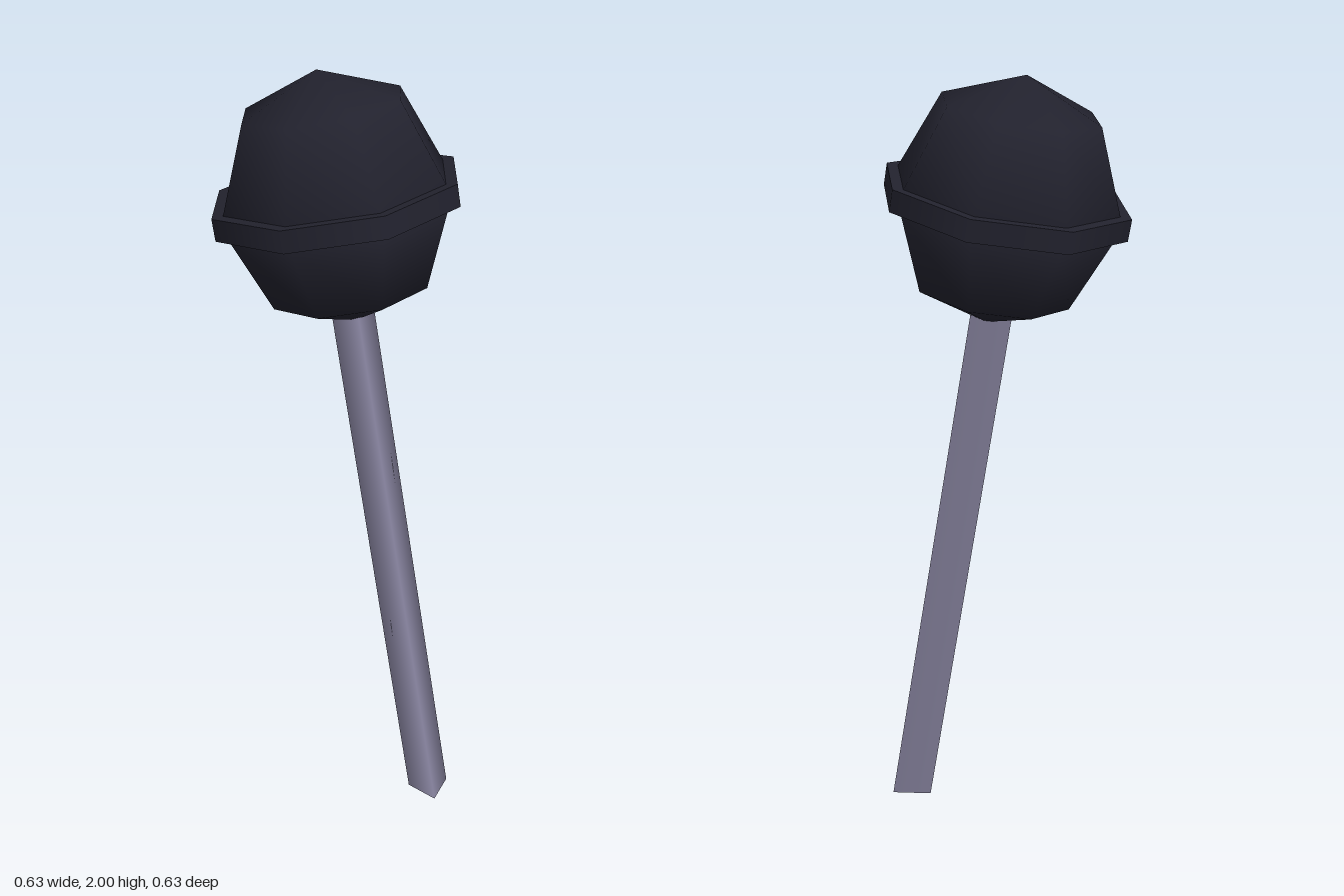
import * as THREE from 'three';

export function createModel() {
  const candy = new THREE.MeshStandardMaterial({ color: 0x22222e });
  candy.name = 'dark candy';
  const paper = new THREE.MeshStandardMaterial({ color: 0x8f8ba8 });
  paper.name = 'grey lilac stick';

  const R = 0.284;    // candy radius
  const BAND = 0.055; // band thickness
  const model = new THREE.Group();
  model.name = 'lollipop';

  const add = (name, geometry, material, y) => {
    const mesh = new THREE.Mesh(geometry, material);
    mesh.name = name;
    mesh.position.y = y;
    model.add(mesh);
    return mesh;
  };

  // Two faceted domes, parted by the thickness of the band
  const dome = () => new THREE.SphereGeometry(R, 8, 2, 0, Math.PI * 2, 0, Math.PI / 2);
  add('upperCandy', dome(), candy, BAND / 2);
  add('lowerCandy', dome().rotateX(Math.PI), candy, -BAND / 2);

  // Eight-sided band around the middle
  add('candyBand', new THREE.CylinderGeometry(0.313, 0.313, BAND, 8), candy, 0);

  // Three-sided stick with one edge towards -x
  const top = -0.2, bottom = -1.704;
  const stick = new THREE.CylinderGeometry(0.063, 0.063, top - bottom, 3, 1, false, -Math.PI / 2);
  stick.scale(1, 1, 0.86);
  add('stick', stick, paper, (top + bottom) / 2);

  // Lean the whole sweet to one side
  model.rotation.z = THREE.MathUtils.degToRad(9.5);
  model.position.y = 1.695;

  const root = new THREE.Group();
  root.name = 'leaningLollipop';
  root.add(model);
  return root;
}
